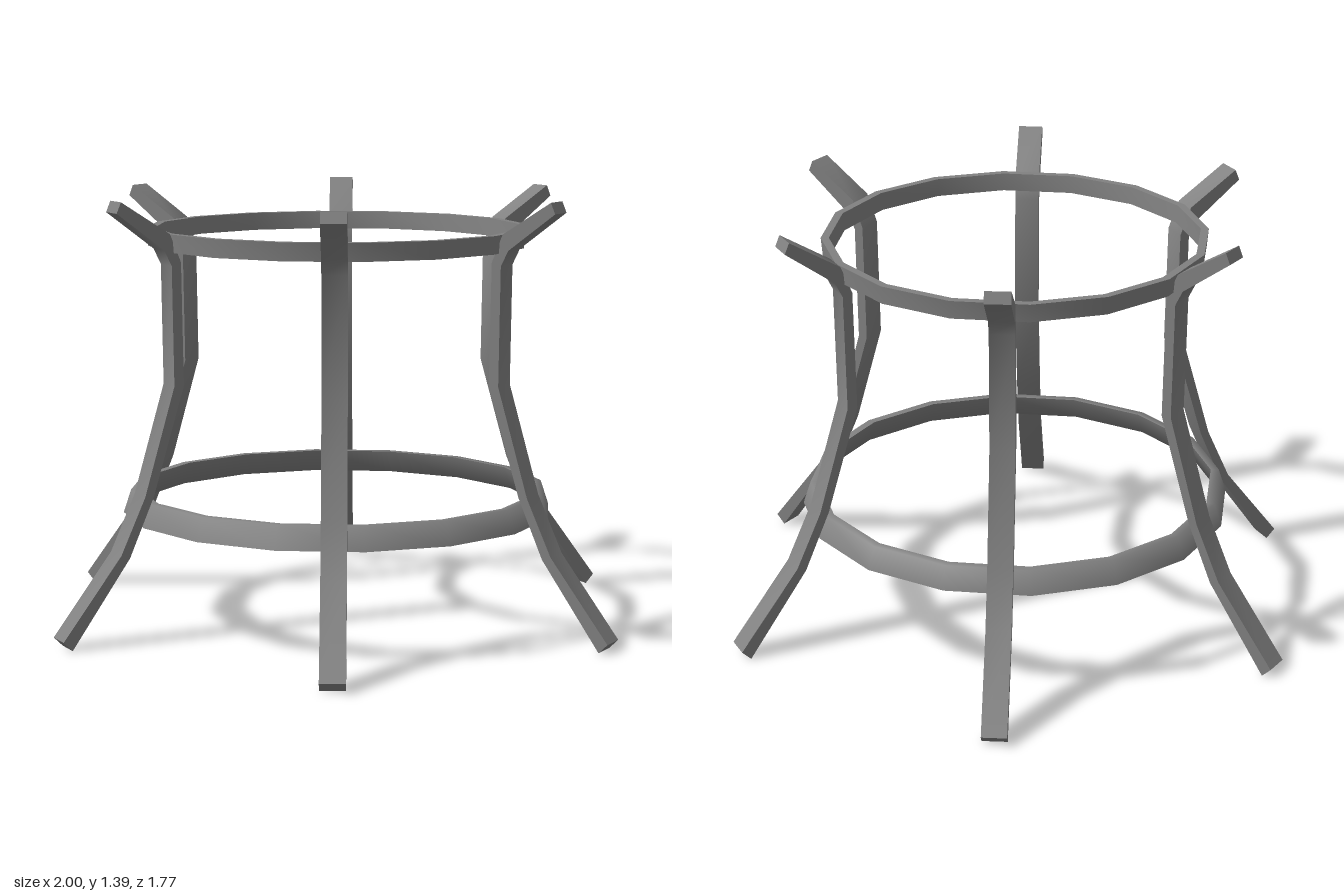
import * as THREE from 'three';
import { toCreasedNormals } from 'three/addons/utils/BufferGeometryUtils.js';

const material = new THREE.MeshStandardMaterial({ color: 0x818181 });
const CREASE = 1.3;
const points = (list) => list.map(([x, y]) => new THREE.Vector2(x, y));

// Curved flat bar, drawn as (radius, height) and extruded to its width
function legGeometry() {
  const width = 0.08;
  const outer = [[1, 0.03], [0.8, 0.285], [0.715, 0.465], [0.61, 0.81], [0.615, 1.19], [0.64, 1.24], [0.8, 1.36]];
  const inner = [[0.97, 0], [0.77, 0.275], [0.685, 0.465], [0.577, 0.81], [0.583, 1.2], [0.62, 1.29], [0.785, 1.395]];
  const shape = new THREE.Shape(points([...outer, ...inner.reverse()]));
  const geometry = new THREE.ExtrudeGeometry(shape, { depth: width, bevelEnabled: false });
  geometry.translate(0, 0, -width / 2);
  return toCreasedNormals(geometry, CREASE);
}

// Closed band with a sloping section
function ring(name, bottomRadius, topRadius, bottom, top, thickness) {
  const profile = points([
    [bottomRadius, bottom], [topRadius, top],
    [topRadius - thickness, top], [bottomRadius - thickness, bottom], [bottomRadius, bottom],
  ]);
  const start = THREE.MathUtils.degToRad(82.75);
  const geometry = new THREE.LatheGeometry(profile, 16, start, Math.PI * 2);
  const mesh = new THREE.Mesh(toCreasedNormals(geometry, CREASE), material);
  mesh.name = name;
  return mesh;
}

export function createModel() {
  const model = new THREE.Group();
  model.name = 'stand';

  // Six legs spread evenly around the axis
  const geometry = legGeometry();
  for (let i = 0; i < 6; i++) {
    const leg = new THREE.Mesh(geometry, material);
    leg.name = `leg${i + 1}`;
    leg.rotation.y = (i * Math.PI) / 3;
    model.add(leg);
  }

  // Bands tying the legs together
  model.add(ring('upperRing', 0.615, 0.62, 1.23, 1.288, 0.026));
  model.add(ring('lowerRing', 0.705, 0.68, 0.358, 0.433, 0.027));
  return model;
}
